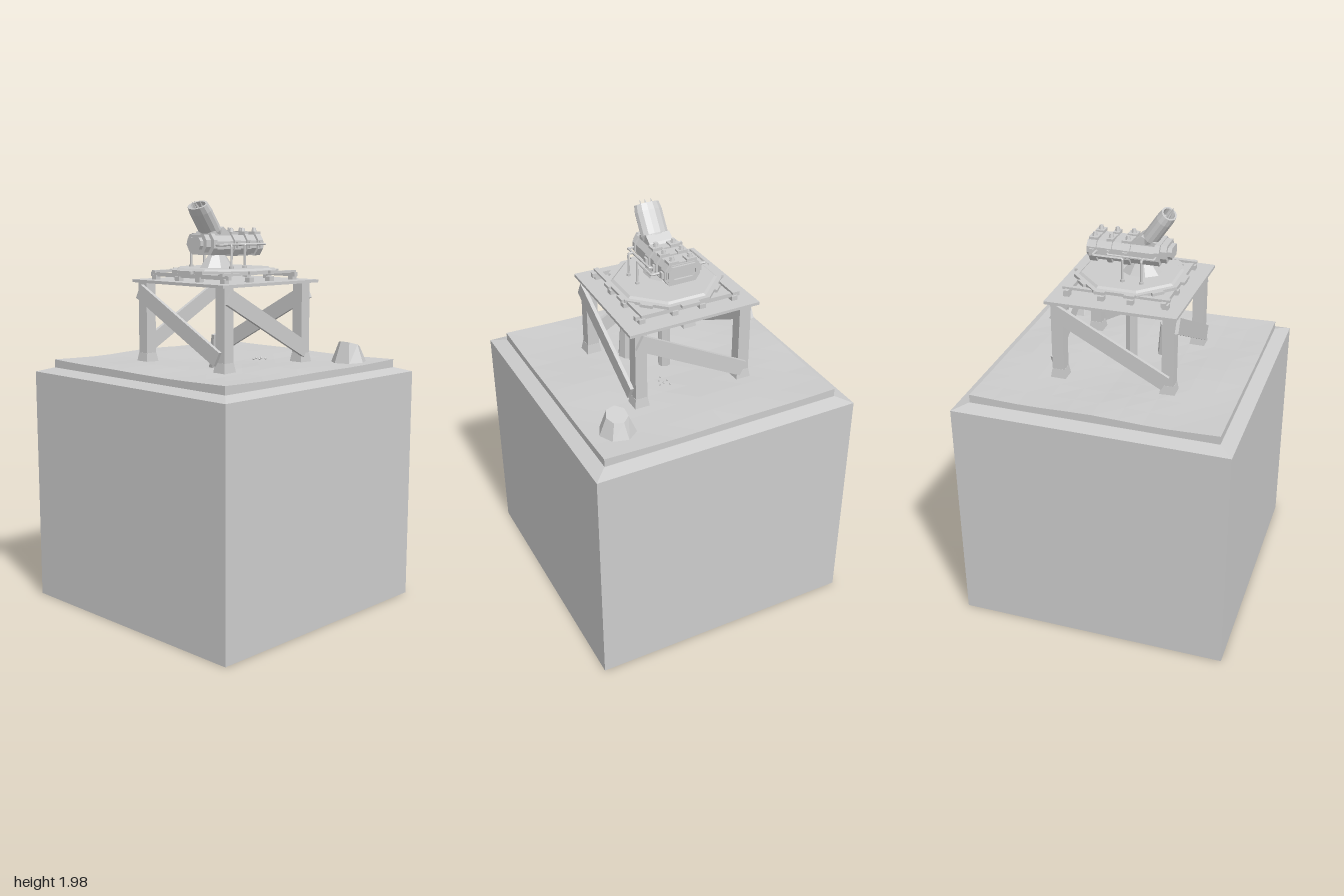
import * as THREE from 'three';

const mat = new THREE.MeshStandardMaterial({ color: 0xcccccc, flatShading: true, side: THREE.DoubleSide });

export function createModel() {
  const model = new THREE.Group();

  const add = (name, geo, x = 0, y = 0, z = 0, parent = model) => {
    const m = new THREE.Mesh(geo, mat);
    m.name = name;
    m.position.set(x, y, z);
    parent.add(m);
    return m;
  };
  const box = (name, w, h, d, x, y, z, parent) => add(name, new THREE.BoxGeometry(w, h, d), x, y, z, parent);
  const extrude = (pts, depth) => new THREE.ExtrudeGeometry(
    new THREE.Shape(pts.map(p => new THREE.Vector2(...p))), { depth, bevelEnabled: false });
  // Flat-topped octagon or square prism, sized by half its width across flats
  const prism = (n, top, bottom, h) => {
    const k = 1 / Math.cos(Math.PI / n);
    return new THREE.CylinderGeometry(top * k, bottom * k, h, n).rotateY(Math.PI / n);
  };

  // Base block with a sloped rim
  box('baseBlock', 1.32, 1.15, 1.32, 0, 0.575, 0);
  add('baseRim', prism(4, 0.595, 0.66, 0.02), 0, 1.16, 0);

  // Uneven ground slab: high corners, wavy edges
  const ground = new THREE.BoxGeometry(1.185, 0.04, 1.185, 10, 1, 10);
  const gp = ground.attributes.position;
  for (let i = 0; i < gp.count; i++) {
    if (gp.getY(i) < 0) continue;
    const x = gp.getX(i), z = gp.getZ(i);
    const corner = Math.abs(x * z) / 0.35;
    const wave = 0.5 + 0.5 * Math.sin(7 * x + 1.5) * Math.cos(6 * z + 0.6);
    gp.setY(i, 0.02 - 0.022 * (1 - corner) * wave);
  }
  ground.computeVertexNormals();
  add('ground', ground, 0, 1.19, 0);

  // Faceted boulder, wide at the foot and cut aslant on top
  const rock = new THREE.CylinderGeometry(0.052, 0.09, 0.11, 7, 1);
  const rp = rock.attributes.position;
  for (let i = 0; i < rp.count; i++) {
    if (rp.getY(i) > 0) rp.setY(i, 0.04 - 0.3 * rp.getX(i));
  }
  rock.computeVertexNormals();
  add('boulder', rock, 0.42, 1.25, 0.45);

  // Pebbles beneath the stand
  for (let i = 0; i < 6; i++) {
    const a = i * 2.4, r = 0.012 + 0.006 * i;
    add('pebble', new THREE.IcosahedronGeometry(0.006, 0), 0.16 + r * Math.cos(a), 1.207, 0.09 + r * Math.sin(a));
  }

  // Stand: four legs, each with a foot and one diagonal plank, repeated by quarter turns
  const stand = new THREE.Group();
  stand.name = 'stand';
  model.add(stand);
  for (let i = 0; i < 4; i++) {
    const side = new THREE.Group();
    side.name = 'standSide';
    side.rotation.y = i * Math.PI / 2;
    stand.add(side);
    box('leg', 0.058, 0.4, 0.058, 0.267, 1.395, 0.267, side);
    add('legFoot', prism(4, 0.03, 0.038, 0.05), 0.267, 1.22, 0.267, side);
    box('brace', 0.61, 0.075, 0.018, -0.01, 1.405, 0.304, side).rotation.z = -0.49;
  }
  add('centrePost', new THREE.CylinderGeometry(0.03, 0.03, 0.46, 8), 0, 1.42, 0);
  add('barrel', new THREE.CylinderGeometry(0.04, 0.052, 0.16, 8), -0.15, 1.275, 0.12);

  // Slightly crooked deck board
  add('deck', extrude([[-0.325, -0.315], [0.32, -0.33], [0.315, 0.33], [-0.31, 0.325]], 0.014)
    .rotateX(-Math.PI / 2), 0, 1.59, 0);

  // Crossing beams and the bearing blocks between them
  for (const s of [-1, 1]) {
    box('longBeam', 0.022, 0.02, 0.53, s * 0.23, 1.63, 0);
    box('crossBeam', 0.51, 0.012, 0.022, 0, 1.643, s * 0.232);
    for (const t of [-0.235, -0.07, 0.07, 0.235]) {
      box('beamBlock', 0.03, 0.022, 0.03, s * 0.235, 1.615, t);
      box('beamBlock', 0.03, 0.022, 0.03, t, 1.615, s * 0.235);
    }
  }

  // Stepped octagonal turntable with edge lugs
  add('turntable', prism(8, 0.25, 0.25, 0.014), 0, 1.648, 0);
  add('turntableStep', prism(8, 0.218, 0.23, 0.01), 0, 1.659, 0);
  for (const s of [-1, 1]) {
    box('sideLug', 0.024, 0.014, 0.09, s * 0.257, 1.648, 0);
    for (const t of [-0.07, 0.07]) box('endLug', 0.05, 0.014, 0.024, t, 1.648, s * 0.252);
    for (const t of [-1, 1]) {
      box('cornerLug', 0.06, 0.014, 0.02, s * 0.18, 1.648, t * 0.18).rotation.y = s * t * Math.PI / 4;
    }
  }

  // Pedestal flaring toward the turntable
  const pedestal = prism(8, 0.03, 0.068, 0.07);
  pedestal.scale(1.35, 1, 1);
  add('pedestal', pedestal, -0.05, 1.695, 0);

  // Engine housing: rounded lozenge section run along x
  const section = (w, h) => [[-w, -h * 0.4], [-w * 0.75, -h], [w * 0.75, -h], [w, -h * 0.4],
    [w, h * 0.4], [w * 0.75, h], [-w * 0.75, h], [-w, h * 0.4]];
  const run = (name, w, h, x0, x1, y) =>
    add(name, extrude(section(w, h), x1 - x0).rotateY(Math.PI / 2), x0, y, 0);
  run('housing', 0.08, 0.046, -0.14, 0.185, 1.772);
  run('noseCollar', 0.086, 0.05, -0.155, -0.13, 1.778);
  run('nose', 0.065, 0.042, -0.185, -0.155, 1.782);
  run('noseCap', 0.045, 0.028, -0.205, -0.185, 1.782);

  // Bands with pairs of bolts on top
  for (const [x, w] of [[0.003, 0.04], [0.083, 0.024], [0.163, 0.036]]) {
    run('band', 0.09, 0.054, x - w / 2, x + w / 2, 1.772);
    for (const s of [-1, 1]) {
      box('bandPad', w + 0.006, 0.014, 0.05, x, 1.827, s * 0.045);
      add('bolt', new THREE.CylinderGeometry(0.009, 0.014, 0.02, 6), x, 1.842, s * 0.045);
      box('sideClasp', w * 0.6, 0.03, 0.014, x, 1.772, s * 0.094);
    }
  }

  // Framed opening at the rear end
  const frame = new THREE.Shape(section(0.076, 0.038).map(p => new THREE.Vector2(...p)));
  frame.holes.push(new THREE.Path(section(0.06, 0.024).map(p => new THREE.Vector2(...p))));
  add('endFrame', new THREE.ExtrudeGeometry(frame, { depth: 0.012, bevelEnabled: false })
    .rotateY(Math.PI / 2), 0.183, 1.775, 0);

  // Sloped hump joining the housing and the chimney
  add('hump', extrude([[-0.145, 1.8], [0, 1.8], [-0.03, 1.835], [-0.065, 1.86], [-0.13, 1.835]], 0.12), 0, 0, -0.06);

  // Leaning oval chimney with a hollow mouth
  const chimney = new THREE.Group();
  chimney.name = 'chimney';
  chimney.position.set(-0.085, 1.825, 0);
  chimney.rotation.z = 0.6;
  model.add(chimney);
  const pipe = [[0, 0], [0.062, 0], [0.068, 0.02], [0.068, 0.13], [0.062, 0.165], [0.048, 0.165], [0.044, 0.13], [0, 0.13]];
  const stack = new THREE.LatheGeometry(pipe.map(p => new THREE.Vector2(...p)), 14);
  stack.scale(0.6, 1, 1);
  add('chimneyPipe', stack, 0, 0, 0, chimney);
  add('chimneyTip', new THREE.ConeGeometry(0.012, 0.06, 5), -0.006, 0.162, 0, chimney);
  for (const s of [-1, 1]) {
    add('chimneyProng', new THREE.ConeGeometry(0.008, 0.04, 4), 0, 0.168, s * 0.028, chimney);
  }

  // Bent pipes rising from the turntable along both flanks
  const bentPipe = (pts) => {
    const path = new THREE.CurvePath();
    for (let i = 1; i < pts.length; i++) {
      path.add(new THREE.LineCurve3(new THREE.Vector3(...pts[i - 1]), new THREE.Vector3(...pts[i])));
    }
    return new THREE.TubeGeometry(path, 48, 0.006, 6, false);
  };
  for (const s of [-1, 1]) {
    add('frontPipe', bentPipe([[-0.09, 1.66, s * 0.138], [-0.09, 1.775, s * 0.138], [-0.09, 1.775, s * 0.115],
      [0.083, 1.775, s * 0.115], [0.083, 1.775, s * 0.08]]));
    add('rearPipe', bentPipe([[0, 1.66, s * 0.138], [0, 1.775, s * 0.138], [0.145, 1.775, s * 0.138], [0.145, 1.775, s * 0.08]]));
    add('outletPipe', bentPipe([[-0.14, 1.775, s * 0.08], [-0.14, 1.775, s * 0.115], [-0.09, 1.775, s * 0.115]]));
    for (const x of [-0.09, 0]) add('pipeFlange', new THREE.CylinderGeometry(0.011, 0.011, 0.012, 8), x, 1.669, s * 0.138);
  }

  return model;
}
